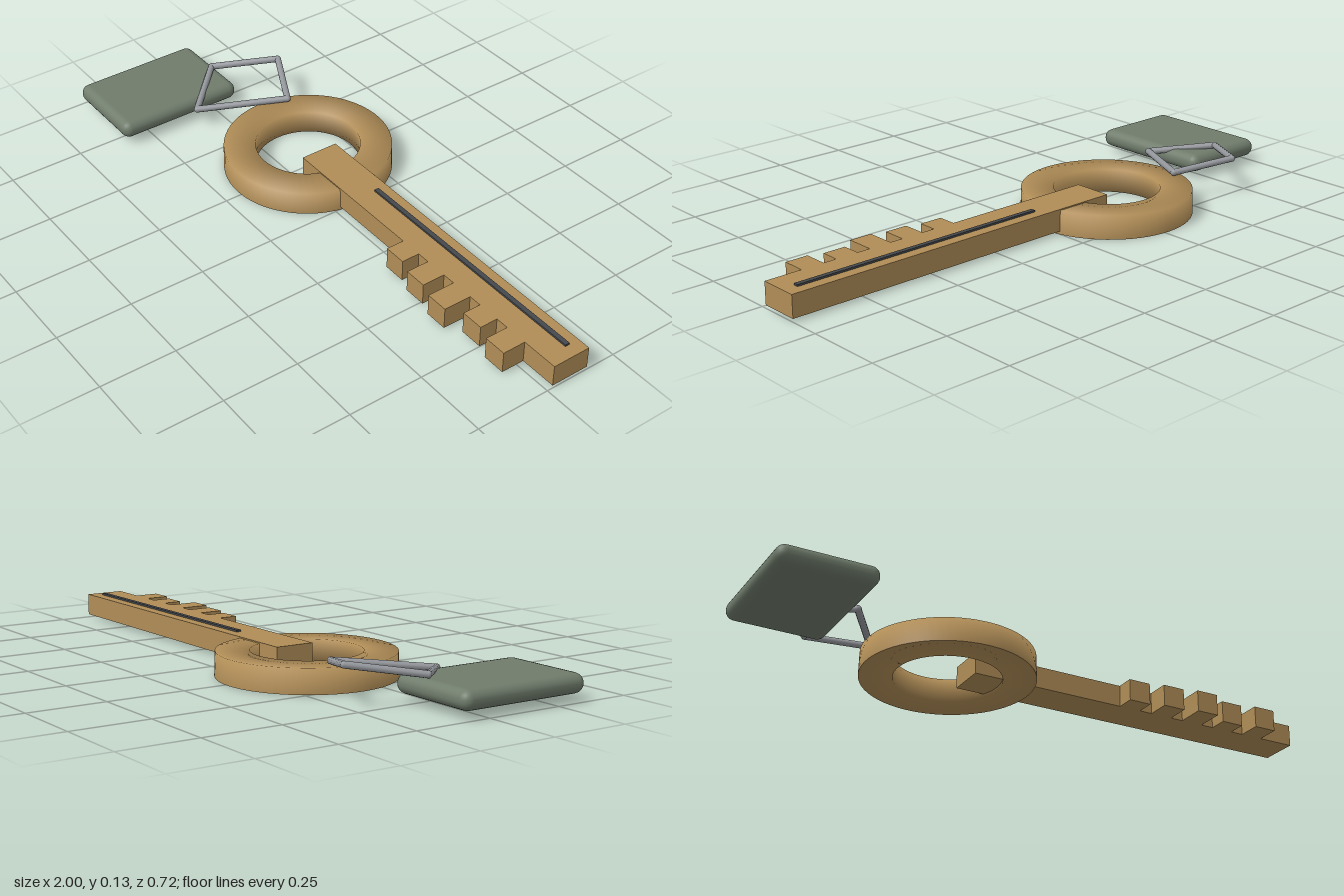
import * as THREE from 'three';
import { RoundedBoxGeometry } from 'three/addons/geometries/RoundedBoxGeometry.js';

const material = (color) => new THREE.MeshStandardMaterial({ color });

export function createModel() {
  const model = new THREE.Group();
  model.name = 'keyWithTag';
  const brass = material(0xb08d57);
  const green = material(0x707c6c);
  const steel = material(0x94979c);
  const dark = material(0x45484c);

  const add = (name, geometry, mat, parent = model) => {
    const mesh = new THREE.Mesh(geometry, mat);
    mesh.name = name;
    parent.add(mesh);
    return mesh;
  };
  // Box given by its extents on each axis
  const block = (name, [x0, x1], [y0, y1], [z0, z1], mat) => {
    const mesh = add(name, new THREE.BoxGeometry(x1 - x0, y1 - y0, z1 - z0), mat);
    mesh.position.set((x0 + x1) / 2, (y0 + y1) / 2, (z0 + z1) / 2);
    return mesh;
  };

  // Ring-shaped bow with straight walls and soft shading
  const profile = [[0.277, 0], [0.275, 0.078], [0.171, 0.078], [0.171, 0], [0.277, 0]]
    .map(([r, y]) => new THREE.Vector2(r, y));
  const bow = add('bow', new THREE.LatheGeometry(profile, 64), brass);
  bow.position.set(-0.268, 0, -0.083);

  // Shaft with the dark groove line on top
  const thickness = [0.01, 0.082];
  block('shaft', [-0.205, 1], thickness, [-0.148, -0.018], brass);
  block('groove', [0.073, 0.957], [0.07, 0.088], [-0.113, -0.097], dark);

  // Teeth of three lengths, evenly spaced
  [0.043, 0.06, 0.076, 0.043, 0.06].forEach((end, i) => {
    const x = 0.32 + i * 0.12;
    block('tooth' + (i + 1), [x, x + 0.076], thickness, [-0.03, end], brass);
  });

  // Rounded tag
  const tag = add('tag', new RoundedBoxGeometry(0.312, 0.06, 0.442, 3, 0.029), green);
  tag.position.set(-0.844, 0.052, 0.137);

  // Tilted four-sided wire link between tag and bow
  const link = new THREE.Group();
  link.name = 'link';
  model.add(link);
  const corners = [
    [-0.682, 0.121, -0.25], [-0.498, 0.092, -0.162],
    [-0.654, 0.068, 0.1], [-0.812, 0.094, -0.06],
  ].map((p) => new THREE.Vector3(...p));
  const wire = 0.011;
  corners.forEach((a, i) => {
    const b = corners[(i + 1) % corners.length];
    const dir = b.clone().sub(a);
    const side = add('linkSide' + (i + 1), new THREE.CylinderGeometry(wire, wire, dir.length(), 10), steel, link);
    side.position.copy(a).lerp(b, 0.5);
    side.quaternion.setFromUnitVectors(new THREE.Vector3(0, 1, 0), dir.normalize());
    add('linkCorner' + (i + 1), new THREE.SphereGeometry(wire, 10, 8), steel, link).position.copy(a);
  });

  return model;
}
